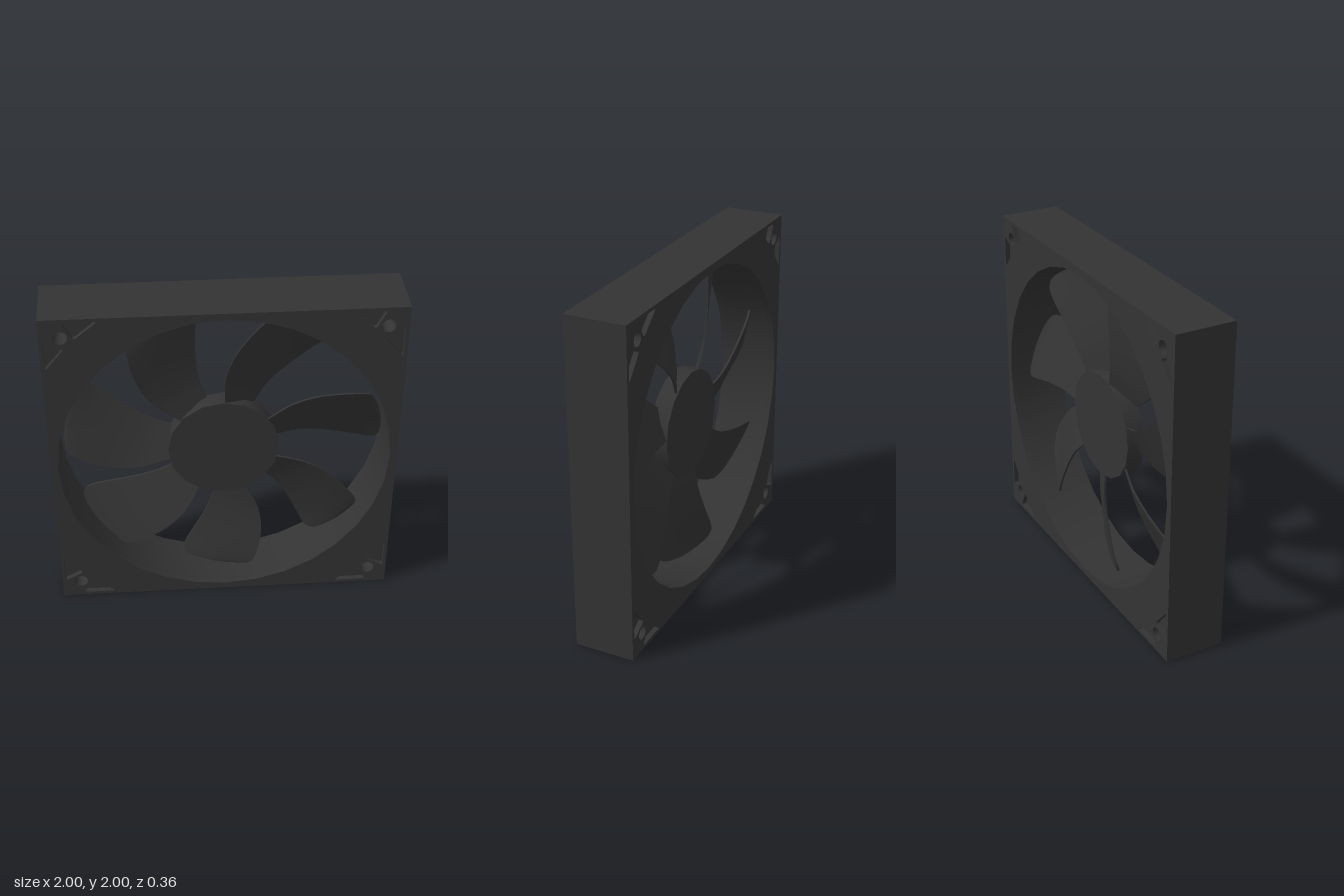
import * as THREE from 'three';
import { toCreasedNormals } from 'three/addons/utils/BufferGeometryUtils.js';

const DEPTH = 0.36, POCKET = 0.03, BLADES = 7;
const material = new THREE.MeshStandardMaterial({ color: 0x333333 });

function addMesh(parent, geometry, name) {
  const mesh = new THREE.Mesh(geometry, material);
  mesh.name = name;
  parent.add(mesh);
  return mesh;
}

function circlePath(x, y, r) {
  return new THREE.Path().absarc(x, y, r, 0, Math.PI * 2, true);
}

// Closed path through the corners, each one rounded off
function roundedPath(corners, r) {
  const path = new THREE.Path();
  corners.forEach((c, i) => {
    const prev = corners[(i + corners.length - 1) % corners.length];
    const next = corners[(i + 1) % corners.length];
    const a = c.clone().add(prev.clone().sub(c).setLength(r));
    const b = c.clone().add(next.clone().sub(c).setLength(r));
    if (i === 0) path.moveTo(a.x, a.y); else path.lineTo(a.x, a.y);
    path.quadraticCurveTo(c.x, c.y, b.x, b.y);
  });
  path.closePath();
  return path;
}

// Square slab with the airflow opening and screw holes, optionally corner pockets
function frameSlab(depth, pockets) {
  const shape = new THREE.Shape([[-1, -1], [1, -1], [1, 1], [-1, 1]].map(p => new THREE.Vector2(...p)));
  shape.holes.push(circlePath(0, 0, 0.96));
  const triangle = [[0.98, 0.875], [0.868, 0.815], [0.98, 0.68]];
  for (const sx of [-1, 1]) for (const sy of [-1, 1]) {
    shape.holes.push(circlePath(sx * 0.885, sy * 0.885, 0.04));
    if (!pockets) continue;
    shape.holes.push(roundedPath(triangle.map(([a, b]) => new THREE.Vector2(sx * a, sy * b)), 0.02));
    shape.holes.push(roundedPath(triangle.map(([a, b]) => new THREE.Vector2(sx * b, sy * a)), 0.02));
  }
  const geo = new THREE.ExtrudeGeometry(shape, { depth, bevelEnabled: false, curveSegments: 16 });
  return toCreasedNormals(geo, 0.4);
}

// Thin pitched blade lofted between its two edge curves, pointing down
function bladeGeometry() {
  const curve = pts => new THREE.SplineCurve(pts.map(p => new THREE.Vector2(...p)));
  const left = curve([[-0.04, -0.25], [-0.05, -0.33], [-0.065, -0.45], [-0.12, -0.6], [-0.2, -0.76],
    [-0.235, -0.83], [-0.24, -0.865], [-0.22, -0.9], [-0.16, -0.92]]);
  const right = curve([[0.1, -0.25], [0.14, -0.31], [0.205, -0.45], [0.228, -0.6], [0.213, -0.75],
    [0.185, -0.85], [0.165, -0.89], [0.13, -0.91], [0.08, -0.923]]);
  const rows = 32, n = 8, half = 0.007, loop = 2 * (n + 1);
  const positions = [], index = [];
  for (let r = 0; r <= rows; r++) {
    const t = r / rows, a = left.getPoint(t), b = right.getPoint(t);
    const pitch = THREE.MathUtils.lerp(0.5, 0.28, t), middle = (a.x + b.x) / 2;
    for (let k = 0; k < loop; k++) {
      const front = k <= n, u = (front ? k : loop - 1 - k) / n;
      const p = a.clone().lerp(b, u);
      positions.push(p.x, p.y - 0.012 * t * Math.sin(Math.PI * u), pitch * (p.x - middle) + (front ? half : -half));
    }
  }
  for (let r = 0; r < rows; r++) for (let k = 0; k < loop; k++) {
    const a = r * loop + k, b = r * loop + (k + 1) % loop;
    index.push(a, a + loop, b, b, a + loop, b + loop);
  }
  // Tip edge
  const tip = rows * loop;
  for (let i = 0; i < n; i++) {
    const f = tip + i, back = tip + loop - 1 - i;
    index.push(f, back, f + 1, f + 1, back, back - 1);
  }
  const geo = new THREE.BufferGeometry();
  geo.setAttribute('position', new THREE.Float32BufferAttribute(positions, 3));
  geo.setIndex(index);
  return toCreasedNormals(geo, 0.7);
}

export function createModel() {
  const model = new THREE.Group();
  model.name = 'coolingFan';

  // Housing: solid core with a pocketed plate on the front and the back
  const frame = new THREE.Group();
  frame.name = 'frame';
  frame.position.y = 1;
  model.add(frame);
  const core = DEPTH - 2 * POCKET;
  addMesh(frame, frameSlab(core, false), 'frameCore').position.z = -core / 2;
  const plate = frameSlab(POCKET, true);
  addMesh(frame, plate, 'frontPlate').position.z = core / 2;
  addMesh(frame, plate, 'backPlate').position.z = -DEPTH / 2;

  // Rotor: faceted hub and blades
  const rotor = new THREE.Group();
  rotor.name = 'rotor';
  rotor.position.y = 1;
  model.add(rotor);
  addMesh(rotor, new THREE.CylinderGeometry(0.325, 0.325, 0.11, 16).rotateX(Math.PI / 2), 'hub');
  const blade = bladeGeometry();
  for (let i = 0; i < BLADES; i++) {
    addMesh(rotor, blade, `blade${i + 1}`).rotation.z = (i / BLADES) * Math.PI * 2;
  }
  return model;
}
